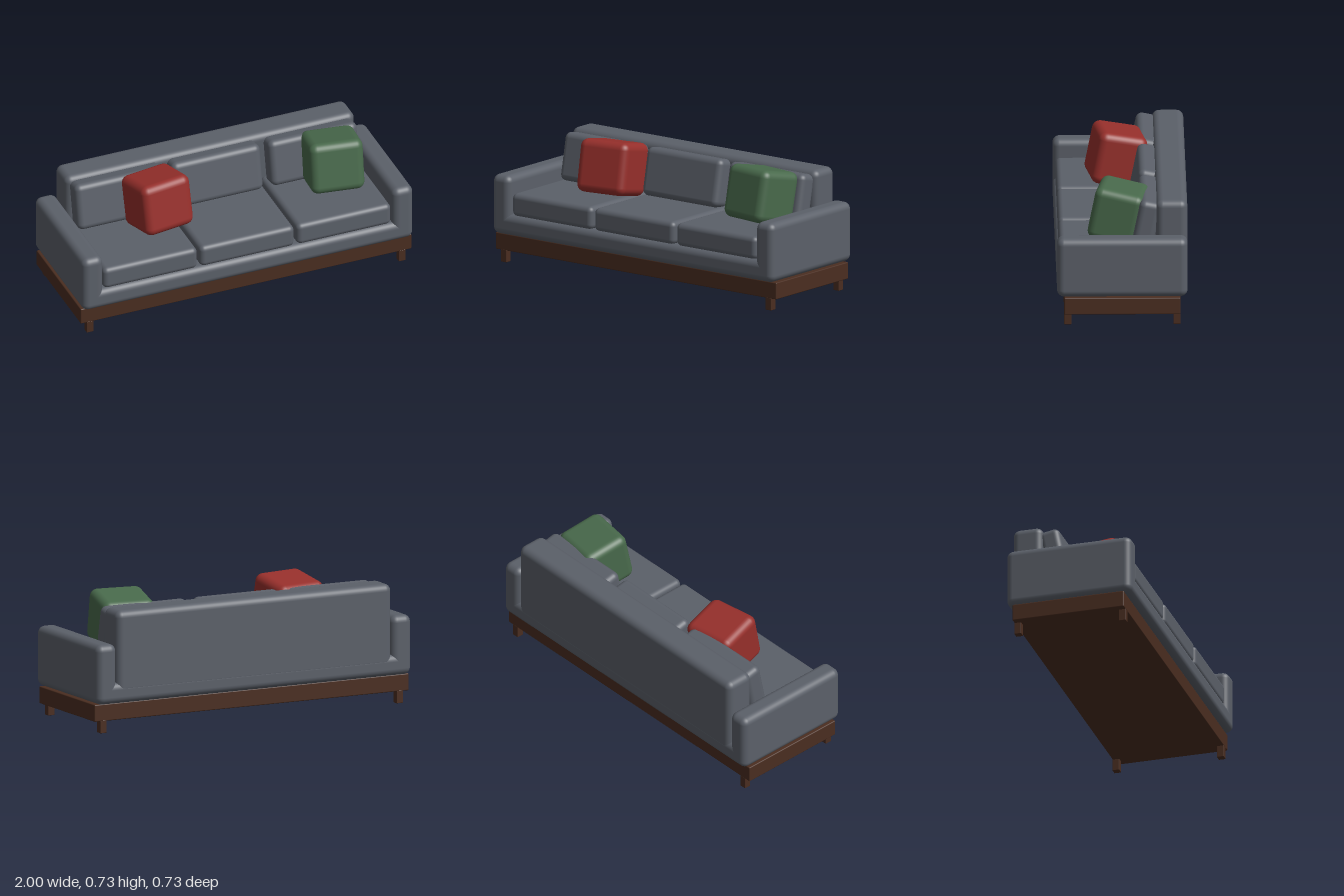
import * as THREE from 'three';
import { RoundedBoxGeometry } from 'three/addons/geometries/RoundedBoxGeometry.js';

export function createModel() {
  const sofa = new THREE.Group();
  sofa.name = 'sofa';

  const material = (color) => new THREE.MeshStandardMaterial({ color });
  const fabric = material(0x5b6069);
  const wood = material(0x4a2d20);
  const red = material(0x962f2b);
  const green = material(0x48694b);

  // Rounded block given by its [min, max] range on each axis
  function block(name, [x0, x1], [y0, y1], [z0, z1], radius, mat) {
    const geometry = new RoundedBoxGeometry(x1 - x0, y1 - y0, z1 - z0, 4, radius);
    const mesh = new THREE.Mesh(geometry, mat);
    mesh.position.set((x0 + x1) / 2, (y0 + y1) / 2, (z0 + z1) / 2);
    mesh.name = name;
    sofa.add(mesh);
    return mesh;
  }

  // Wooden plinth and four short legs
  block('plinth', [-1, 1], [0.068, 0.165], [-0.325, 0.325], 0.006, wood);
  for (const sx of [-1, 1]) {
    for (const sz of [-1, 1]) {
      const leg = block('leg', [-0.02, 0.02], [0, 0.072], [-0.02, 0.02], 0.003, wood);
      leg.position.x = sx * 0.943;
      leg.position.z = sz * 0.305;
    }
  }

  // Upholstered body
  block('base', [-1, 1], [0.165, 0.285], [-0.365, 0.365], 0.04, fabric);
  block('backrest', [-0.875, 0.875], [0.215, 0.69], [-0.365, -0.19], 0.04, fabric);
  block('leftArm', [0.875, 1], [0.2, 0.505], [-0.365, 0.365], 0.04, fabric);
  block('rightArm', [-1, -0.875], [0.2, 0.505], [-0.365, 0.365], 0.04, fabric);

  // Three seat cushions, each with a back cushion leaning on the backrest
  for (const x of [-0.585, 0, 0.585]) {
    block('seatCushion', [x - 0.285, x + 0.285], [0.278, 0.41], [-0.21, 0.35], 0.03, fabric);
    const back = block('backCushion', [x - 0.268, x + 0.268], [0.403, 0.677], [-0.197, -0.077], 0.035, fabric);
    back.rotation.x = -0.2;
  }

  // Loose pillows, tilted back and turned slightly inwards
  function pillow(name, x, yaw, mat) {
    const mesh = block(name, [-0.155, 0.155], [0.416, 0.716], [-0.14, 0.14], 0.045, mat);
    mesh.position.x = x;
    mesh.position.z = 0.017;
    mesh.rotation.set(-0.2, yaw, 0, 'YXZ');
  }
  pillow('redPillow', -0.41, 0.15, red);
  pillow('greenPillow', 0.648, -0.15, green);

  return sofa;
}
